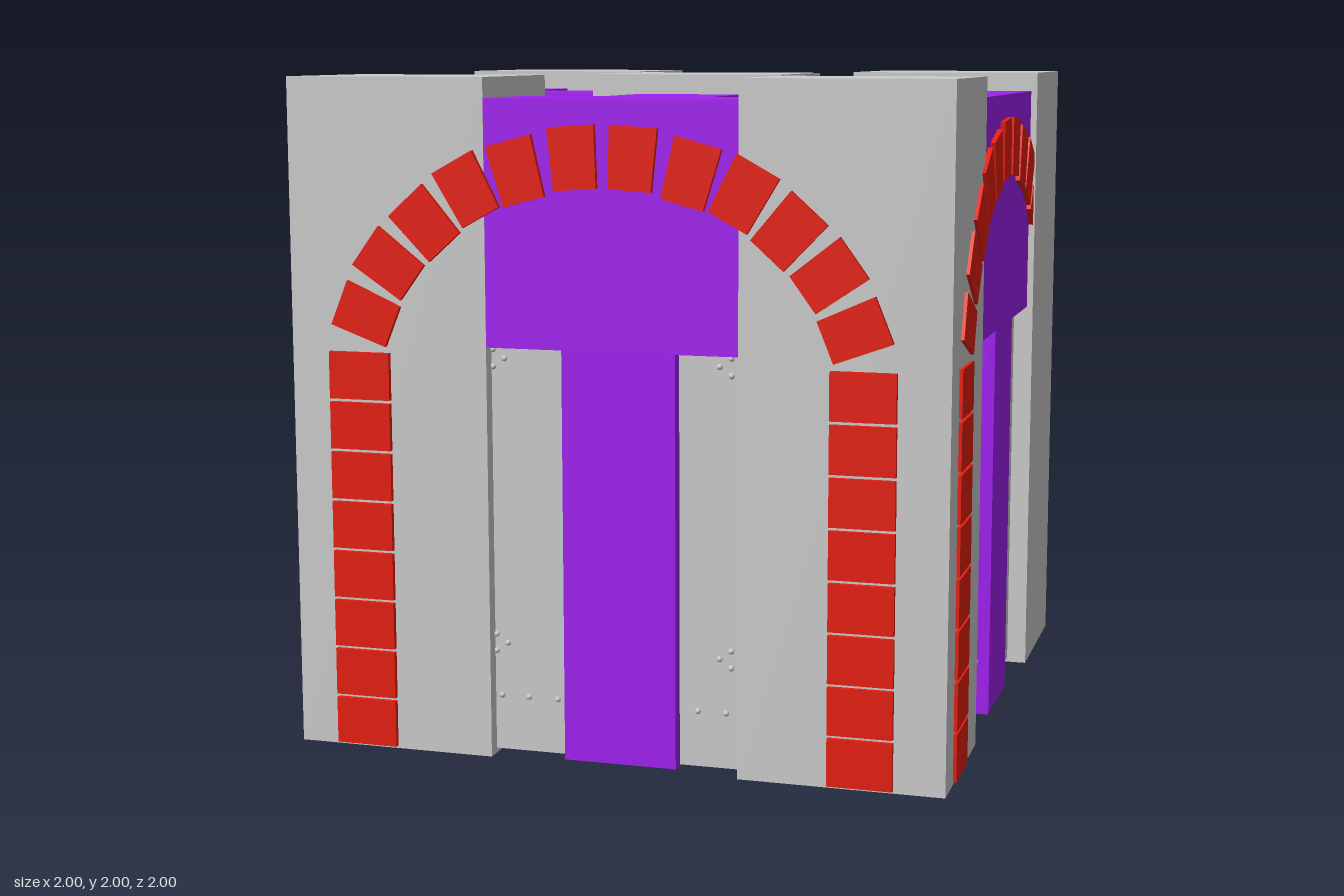
import * as THREE from 'three';

const mat = (color) => new THREE.MeshStandardMaterial({ color, flatShading: true });
const STONE = mat(0xbebebe), PANEL = mat(0xcccccc), PURPLE = mat(0xa020f0), RED = mat(0xe61e10);
const boltMat = new THREE.MeshStandardMaterial({ color: 0xcccccc });

// box from its minimum and maximum corners
function box(parent, name, material, x0, x1, y0, y1, z0, z1) {
  const mesh = new THREE.Mesh(new THREE.BoxGeometry(x1 - x0, y1 - y0, z1 - z0), material);
  mesh.position.set((x0 + x1) / 2, (y0 + y1) / 2, (z0 + z1) / 2);
  mesh.name = name;
  parent.add(mesh);
  return mesh;
}

// wedge brick: its outer end (+x) is a little wider than its inner end
function wedgeGeometry(depth) {
  const g = new THREE.BoxGeometry(0.18, 0.13, depth);
  const p = g.attributes.position;
  for (let i = 0; i < p.count; i++) {
    p.setY(i, p.getY(i) * (p.getX(i) > 0 ? 1.08 : 0.98));
  }
  return g;
}

// brick arch running along x, centred on the origin
function brickArch(depth) {
  const g = new THREE.Group();
  g.name = 'brickArch';
  const wedge = wedgeGeometry(depth);
  // offset from the middle, height, tilt in degrees
  const ring = [[0.73, 1.31, 22], [0.655, 1.46, 36], [0.54, 1.58, 48],
    [0.41, 1.68, 61], [0.258, 1.735, 75], [0.087, 1.775, 86]];
  for (const s of [-1, 1]) {
    for (let i = 0; i < 8; i++) {
      const a = s * 0.66, b = s * 0.85;
      box(g, 'columnBrick', RED, Math.min(a, b), Math.max(a, b),
        0.008 + i * 0.15, 0.148 + i * 0.15, -depth / 2, depth / 2);
    }
    for (const [x, y, deg] of ring) {
      const brick = new THREE.Mesh(wedge, RED);
      const t = THREE.MathUtils.degToRad(deg);
      brick.position.set(s * x, y, 0);
      brick.rotation.z = s > 0 ? t : Math.PI - t;
      brick.name = 'archBrick';
      g.add(brick);
    }
  }
  return g;
}

// thin lower wall running along x with bolts on both faces
function wallPanel() {
  const g = new THREE.Group();
  g.name = 'wallPanel';
  const half = 0.135;
  box(g, 'panel', PANEL, -0.85, 0.85, 0.015, 1.225, -half, half);
  const bolt = new THREE.SphereGeometry(0.009, 10, 6);
  const spots = [];
  for (const s of [-1, 1]) {
    for (const y of [0.34, 1.19]) {
      spots.push([s * 0.325, y], [s * 0.36, y + 0.025], [s * 0.36, y - 0.025]);
    }
    for (const x of [0.17, 0.26, 0.345]) spots.push([s * x, 0.18]);
  }
  for (const [x, y] of spots) {
    for (const z of [-half, half]) {
      const m = new THREE.Mesh(bolt, boltMat);
      m.position.set(x, y, z);
      m.name = 'bolt';
      g.add(m);
    }
  }
  return g;
}

export function createModel() {
  const model = new THREE.Group();
  model.name = 'archedBlock';

  // corner pillars and centre pillar
  box(model, 'cornerPillar', STONE, -0.992, -0.38, 0, 2, 0.47, 0.985);
  box(model, 'cornerPillar', STONE, 0.375, 0.98, 0, 2, 0.47, 0.985);
  box(model, 'cornerPillar', STONE, -0.992, -0.38, 0, 2, -1, -0.48);
  box(model, 'cornerPillar', STONE, 0.375, 0.995, 0, 2, -1, -0.48);
  box(model, 'centrePillar', STONE, -0.3, 0.31, 0, 2, -0.27, 0.25);

  // upper cross beams
  box(model, 'crossBeam', PURPLE, -0.7, 0.7, 1.22, 1.94, -0.145, 0.195);
  box(model, 'crossBeam', PURPLE, -0.15, 0.19, 1.22, 1.939, -0.7, 0.7);

  // lintel over each opening
  box(model, 'lintel', PURPLE, -0.381, 0.376, 1.225, 1.94, 0.64, 0.984);
  box(model, 'lintel', PURPLE, -0.381, 0.376, 1.225, 1.94, -0.97, -0.64);
  box(model, 'lintel', PURPLE, 0.64, 0.975, 1.225, 1.94, -0.481, 0.471);
  box(model, 'lintel', PURPLE, -0.985, -0.645, 1.225, 1.94, -0.481, 0.471);

  // middle post of each opening; the back one rises over the arch
  box(model, 'post', PURPLE, -0.15, 0.19, 0.012, 1.23, 0.64, 0.984);
  box(model, 'post', PURPLE, -0.15, 0.19, 0.012, 1.94, -1, -0.64);
  box(model, 'post', PURPLE, 0.64, 0.975, 0.012, 1.23, -0.145, 0.195);
  box(model, 'post', PURPLE, -0.985, -0.645, 0.012, 1.23, -0.145, 0.195);

  // three arched walls each way
  for (const z of [0.818, 0.025, -0.811]) {
    const arch = brickArch(0.364);
    arch.position.set(-0.02, 0, z);
    const wall = wallPanel();
    wall.position.set(-0.015, 0, z === 0.025 ? z : z - Math.sign(z) * 0.01);
    model.add(arch, wall);
  }
  for (const x of [0.808, 0.02, -0.818]) {
    const arch = brickArch(0.364);
    arch.rotation.y = -Math.PI / 2;
    arch.position.set(x, 0, 0.015);
    const wall = wallPanel();
    wall.rotation.y = -Math.PI / 2;
    wall.position.set(x === 0.02 ? x : x - Math.sign(x) * 0.01, 0, 0.02);
    model.add(arch, wall);
  }
  return model;
}
